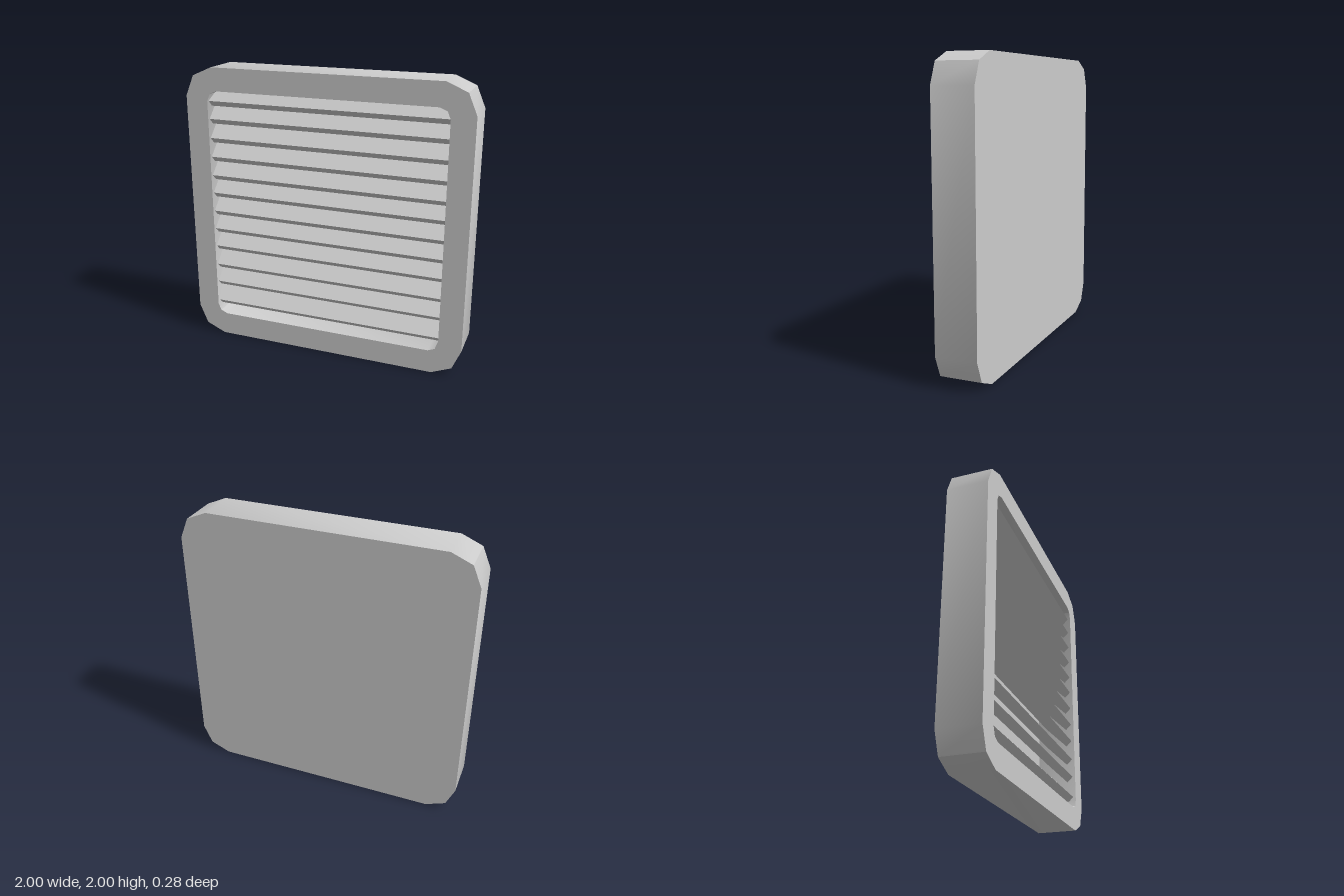
import * as THREE from 'three';
import { toCreasedNormals } from 'three/addons/utils/BufferGeometryUtils.js';

const material = new THREE.MeshStandardMaterial({ color: 0xcccccc });
const doubleSided = new THREE.MeshStandardMaterial({ color: 0xcccccc, side: THREE.DoubleSide });
const DEPTH = 0.28;

// Rectangle whose corners are cut in three facets
function facetedRect(halfW, bottom, top, corner) {
  const k = corner * 0.3;
  const w = halfW;
  return [
    [w, bottom + corner], [w, top - corner], [w - k, top - k], [w - corner, top],
    [corner - w, top], [k - w, top - k], [-w, top - corner],
    [-w, bottom + corner], [k - w, bottom + k], [corner - w, bottom],
    [w - corner, bottom], [w - k, bottom + k],
  ].map(([x, y]) => new THREE.Vector2(x, y));
}

function addMesh(parent, name, geometry, mat = material) {
  const mesh = new THREE.Mesh(geometry, mat);
  mesh.name = name;
  parent.add(mesh);
  return mesh;
}

export function createModel() {
  const group = new THREE.Group();
  group.name = 'louverVent';

  // Frame with the opening cut through it
  const opening = facetedRect(0.84, 0.165, 1.84, 0.07);
  const outline = new THREE.Shape(facetedRect(1, 0, 2, 0.2));
  outline.holes.push(new THREE.Path(opening));
  const frame = new THREE.ExtrudeGeometry(outline, { depth: DEPTH, bevelEnabled: false });
  frame.translate(0, 0, -DEPTH / 2);
  addMesh(group, 'frame', toCreasedNormals(frame, 0.5));

  // Thin sheet closing the back of the opening
  const sheet = new THREE.ShapeGeometry(new THREE.Shape(opening));
  sheet.rotateY(Math.PI);
  addMesh(group, 'backPanel', sheet, doubleSided).position.z = -DEPTH / 2;

  // Slats slope down towards the front at 45 degrees; profile is (z, y) from the front lip
  const lip = 0.04, rise = 0.16;
  const profile = new THREE.Shape([
    [0, 0], [-rise, rise], [-rise - lip, rise - lip], [-lip, -lip],
  ].map(([z, y]) => new THREE.Vector2(z, y)));
  const slat = new THREE.ExtrudeGeometry(profile, { depth: 1.68, bevelEnabled: false });
  slat.translate(0, 0, -0.84);
  slat.rotateY(-Math.PI / 2);

  const slats = new THREE.Group();
  slats.name = 'slats';
  group.add(slats);
  const lipHeights = [0.26, 0.415, 0.553, 0.7, 0.835, 0.97, 1.107, 1.237, 1.372, 1.507, 1.642, 1.767];
  lipHeights.forEach((y, i) => {
    addMesh(slats, `slat${i + 1}`, slat).position.set(0, y, 0.12);
  });

  return group;
}
